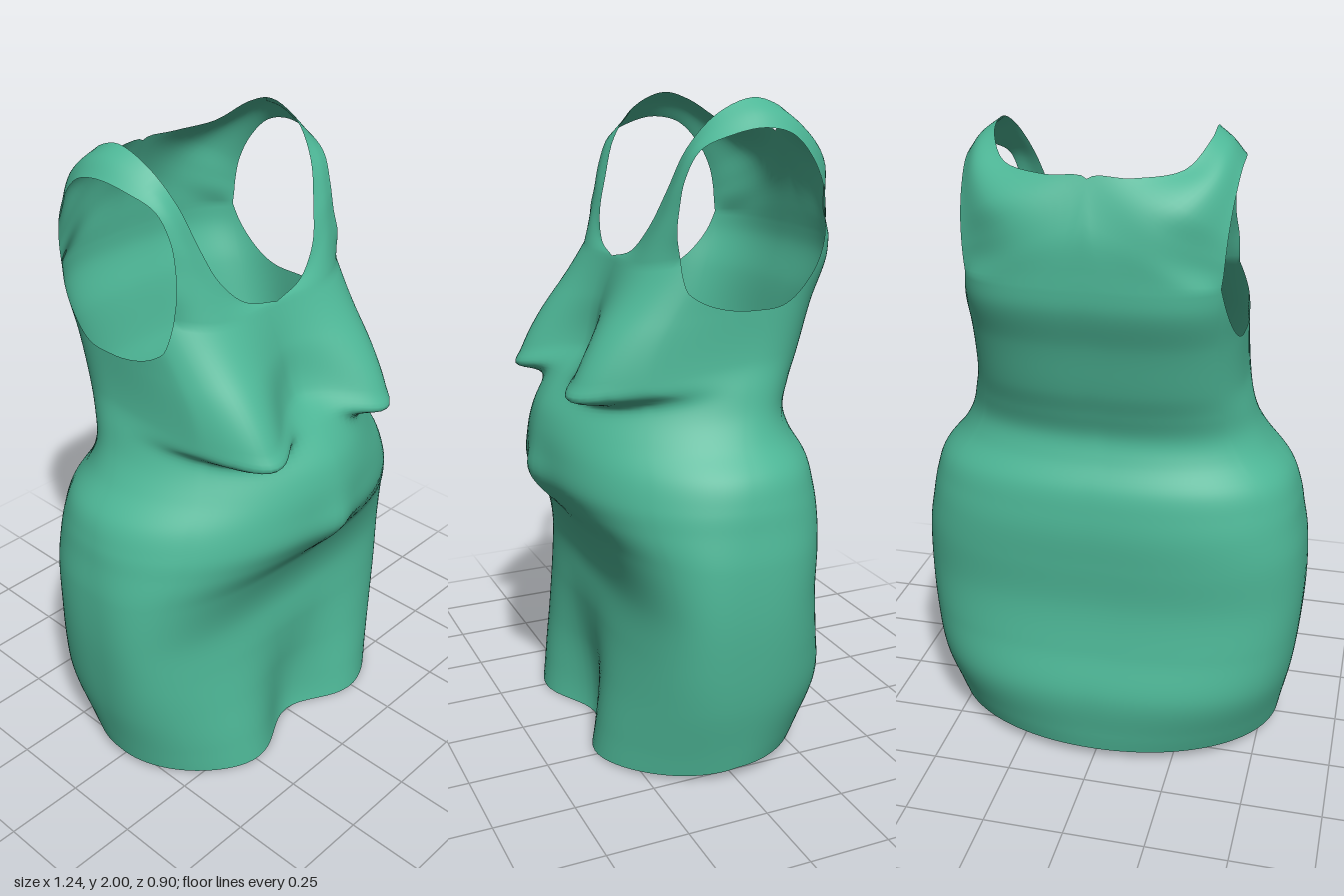
import * as THREE from 'three';
import { mergeGeometries, mergeVertices } from 'three/addons/utils/BufferGeometryUtils.js';

// Horizontal sections: y, half width, front z, back z, z of the side, front and back squareness
const SECTIONS = [
  [0.00, 0.545, 0.415, -0.38, 0.00, 1.9, 1.95],
  [0.10, 0.565, 0.38, -0.40, 0.00, 2.05, 2.2],
  [0.25, 0.595, 0.325, -0.42, 0.00, 2.4, 2.6],
  [0.40, 0.612, 0.283, -0.39, -0.01, 2.9, 2.8],
  [0.55, 0.62, 0.267, -0.372, -0.02, 3.2, 2.8],
  [0.70, 0.615, 0.315, -0.38, -0.02, 2.7, 2.8],
  [0.80, 0.60, 0.385, -0.385, -0.02, 2.2, 2.7],
  [0.87, 0.588, 0.425, -0.38, -0.02, 1.95, 2.6],
  [0.95, 0.56, 0.43, -0.365, -0.03, 1.85, 2.5],
  [1.03, 0.495, 0.425, -0.325, -0.04, 1.8, 2.4],
  [1.10, 0.455, 0.40, -0.307, -0.06, 1.8, 2.4],
  [1.18, 0.43, 0.335, -0.33, -0.08, 1.9, 2.5],
  [1.26, 0.41, 0.24, -0.36, -0.10, 2.2, 2.7],
  [1.41, 0.405, 0.20, -0.40, -0.12, 2.5, 3.0],
  [1.53, 0.41, 0.165, -0.443, -0.12, 2.7, 3.3],
  [1.62, 0.415, 0.13, -0.45, -0.12, 2.7, 3.3],
];

// Straps and upper back: neckline, middle and armhole points, front to back
const STATIONS = [
  [[0.12, 1.56, 0.155], [0.24, 1.59, 0.15], [0.345, 1.63, 0.108]],
  [[0.20, 1.64, 0.13], [0.275, 1.67, 0.12], [0.335, 1.70, 0.097]],
  [[0.24, 1.74, 0.095], [0.29, 1.755, 0.095], [0.335, 1.78, 0.08]],
  [[0.275, 1.86, 0.05], [0.315, 1.86, 0.05], [0.35, 1.86, 0.04]],
  [[0.302, 1.955, -0.03], [0.337, 1.93, -0.035], [0.375, 1.90, -0.04]],
  [[0.31, 2.00, -0.14], [0.355, 1.965, -0.14], [0.392, 1.92, -0.14]],
  [[0.305, 1.975, -0.23], [0.355, 1.95, -0.23], [0.392, 1.90, -0.23]],
  [[0.25, 1.91, -0.32], [0.335, 1.89, -0.32], [0.385, 1.83, -0.30]],
  [[0.12, 1.893, -0.375], [0.27, 1.82, -0.40], [0.378, 1.75, -0.34]],
  [[0, 1.888, -0.385], [0.20, 1.77, -0.43], [0.373, 1.68, -0.353]],
  [[0, 1.75, -0.44], [0.20, 1.69, -0.437], [0.37, 1.64, -0.355]],
];

const ARM_FRONT = 0.93, ARM_BACK = Math.PI - 0.95, SIDE = Math.PI / 2;
const COLS = 16;

// Smooth interpolation of the section table by height
function sectionAt(y) {
  const last = SECTIONS.length - 1;
  let i = 0;
  while (i < last - 1 && y > SECTIONS[i + 1][0]) i++;
  const at = (k) => SECTIONS[Math.min(last, Math.max(0, k))];
  const [a, b, c, d] = [at(i - 1), at(i), at(i + 1), at(i + 2)];
  const h = c[0] - b[0], t = (y - b[0]) / h, t2 = t * t, t3 = t2 * t;
  return b.map((v, k) => {
    const m0 = (c[k] - a[k]) / (c[0] - a[0]) * h, m1 = (d[k] - b[k]) / (d[0] - b[0]) * h;
    return (2 * t3 - 3 * t2 + 1) * v + (t3 - 2 * t2 + t) * m0 + (3 * t2 - 2 * t3) * c[k] + (t3 - t2) * m1;
  });
}

const bump = (d, width, power = 2) => Math.exp(-(Math.abs(d / width) ** power));

// Point on the body; angle 0 is the front, PI the back
function bodyPoint(angle, y) {
  const [, w, front, back, side, pf, pb] = sectionAt(y);
  const c = Math.cos(angle), s = Math.abs(Math.sin(angle));
  const e = 2 / (c > 0 ? pf : pb);
  const x = w * s ** e;
  let z = side + ((c > 0 ? front : back) - side) * Math.abs(c) ** e;
  if (c > 0) {
    // Valley between the thighs and a soft ridge down the middle of the belly
    z -= 0.17 * bump(x, 0.18) * (1 - THREE.MathUtils.smoothstep(y, -0.05, 0.5));
    z += 0.025 * bump(x, 0.07) * bump(y - 0.87, 0.1);
    // Bust: a broad swelling that sags over the waist along a curved lower edge
    const crest = 1.25 + 1.2 * (x - 0.24) ** 2;
    const rise = y > crest ? bump(y - crest, 0.22) : bump(y - crest, 0.09, 3);
    const g = bump(x - 0.29, 0.17) * rise * Math.min(1, c * 2.5);
    z += 0.215 * g;
    y -= 0.055 * g;
  }
  return new THREE.Vector3(x, y, z);
}

// Upper limit of the body shell: chest line, lower armhole, back line
function topHeight(angle) {
  const scoop = (s, rise, power) => 1.41 + rise * Math.max(0, 1 - s) ** power;
  if (angle <= ARM_FRONT) return 1.53 + 0.03 * (angle / ARM_FRONT) ** 2;
  if (angle <= SIDE) return scoop((angle - ARM_FRONT) / (SIDE - ARM_FRONT), 0.15, 1.5);
  if (angle < ARM_BACK) return scoop((ARM_BACK - angle) / (ARM_BACK - SIDE), 0.19, 2.3);
  return 1.6;
}

const hemHeight = (angle) => 0.037 * (1 - Math.max(0, Math.cos(angle)) ** 0.8);

// Surface from rows of points; side -1 mirrors it
function sheet(rows, side) {
  const n = rows[0].length, pos = [], index = [];
  rows.flat().forEach((p) => pos.push(p.x * side, p.y, p.z));
  for (let r = 0; r < rows.length - 1; r++) {
    for (let c = 0; c < n - 1; c++) {
      const a = r * n + c, b = a + 1, d = a + n, e = d + 1;
      if (side > 0) index.push(a, b, e, a, e, d);
      else index.push(a, e, b, a, d, e);
    }
  }
  const g = new THREE.BufferGeometry();
  g.setAttribute('position', new THREE.Float32BufferAttribute(pos, 3));
  g.setIndex(index);
  return g;
}

function bodyRows() {
  const stops = [0, ARM_FRONT, SIDE, ARM_BACK, Math.PI], angles = [0];
  for (let i = 0; i < 4; i++) {
    for (let k = 1; k <= COLS; k++) angles.push(THREE.MathUtils.lerp(stops[i], stops[i + 1], k / COLS));
  }
  const rows = [];
  for (let r = 0; r <= 120; r++) {
    rows.push(angles.map((a) => bodyPoint(a, THREE.MathUtils.lerp(hemHeight(a), topHeight(a), r / 120))));
  }
  return rows;
}

function strapRows() {
  const across = STATIONS.map((s) => new THREE.CatmullRomCurve3(s.map((p) => new THREE.Vector3(...p))));
  const steps = (STATIONS.length + 1) * 5;
  const columns = [];
  for (let k = 0; k <= COLS; k++) {
    const t = k / COLS, a = ARM_FRONT * t, b = Math.PI + (ARM_BACK - Math.PI) * t;
    const curve = new THREE.CatmullRomCurve3([
      bodyPoint(a, topHeight(a)), ...across.map((c) => c.getPoint(t)), bodyPoint(b, 1.6),
    ]);
    columns.push(curve.getPoints(steps));
  }
  return columns[0].map((_, r) => columns.map((c) => c[r].setX(Math.max(0, c[r].x))));
}

export function createModel() {
  const group = new THREE.Group();
  group.name = 'sleevelessDress';
  const green = new THREE.MeshStandardMaterial({ color: 0x4db696, side: THREE.DoubleSide });
  green.name = 'sea green cloth';

  // One seamless cloth: skirt and bodice shell joined with straps and upper back
  const body = bodyRows(), straps = strapRows();
  const halves = [1, -1].flatMap((side) => [sheet(body, side), sheet(straps, side)]);
  const cloth = mergeVertices(mergeGeometries(halves), 1e-4);
  cloth.computeVertexNormals();
  const dress = new THREE.Mesh(cloth, green);
  dress.name = 'dress';
  group.add(dress);
  return group;
}
